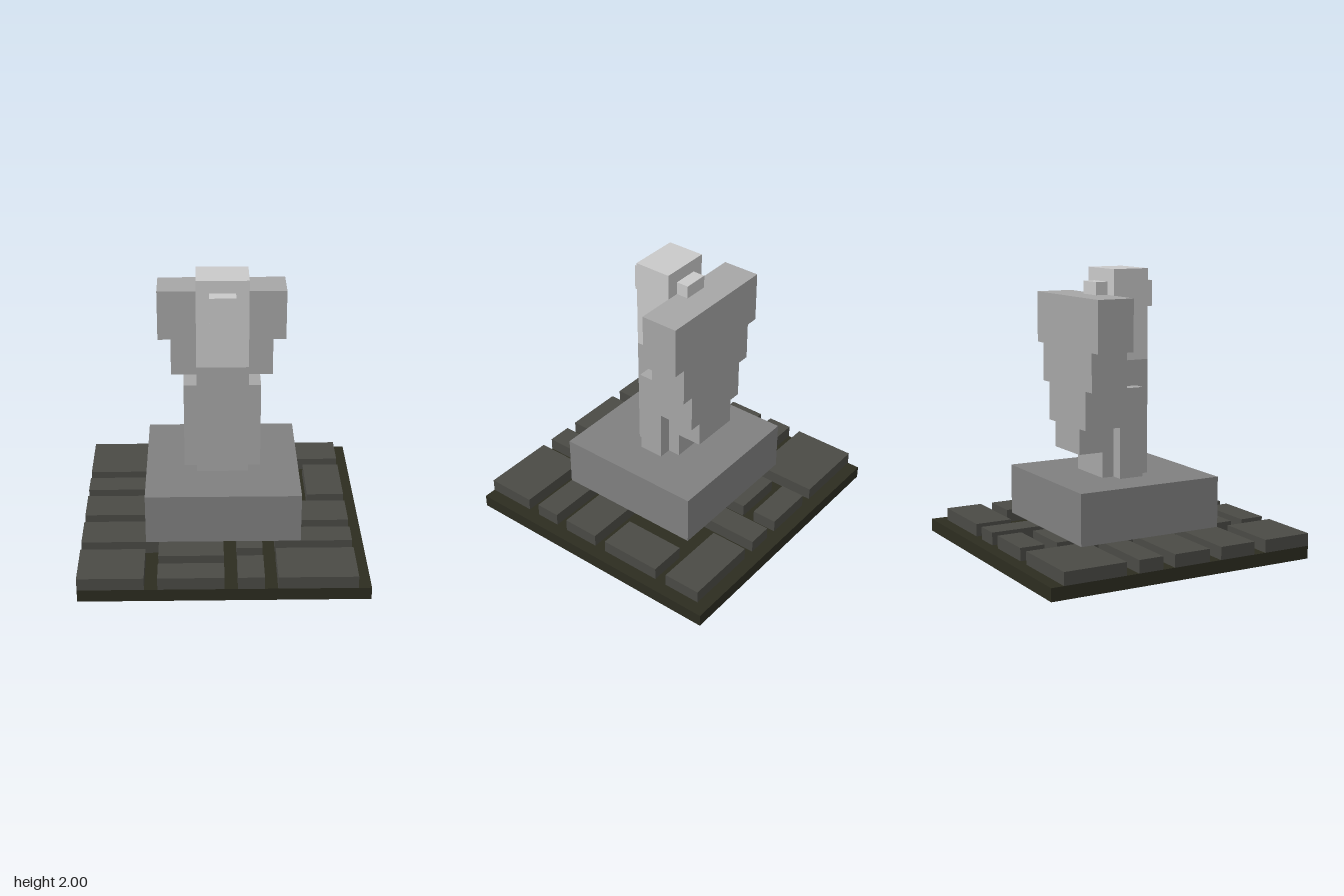
import * as THREE from 'three';

const U = 1 / 11; // one block of the modelling grid

const mat = (name, color) => {
  const m = new THREE.MeshStandardMaterial({ color });
  m.name = name;
  return m;
};

export function createModel() {
  const soil = mat('dark soil', 0x2c2c20);
  const paving = mat('dark paving', 0x4a4a45);
  const plinthStone = mat('plinth grey', 0x808080);
  const statueStone = mat('statue grey', 0xa6a6a6);
  const headStone = mat('pale grey', 0xc9c9c9);

  const model = new THREE.Group();
  model.name = 'statue';

  // Box between two grid corners
  const box = (parent, name, material, [x0, x1], [y0, y1], [z0, z1]) => {
    const geo = new THREE.BoxGeometry((x1 - x0) * U, (y1 - y0) * U, (z1 - z0) * U);
    const mesh = new THREE.Mesh(geo, material);
    mesh.position.set(((x0 + x1) / 2) * U, ((y0 + y1) / 2) * U, ((z0 + z1) / 2) * U);
    mesh.name = name;
    parent.add(mesh);
  };
  const group = (name) => {
    const g = new THREE.Group();
    g.name = name;
    model.add(g);
    return g;
  };

  // Ground slab
  box(model, 'groundSlab', soil, [-11, 11], [0, 1], [-11, 11]);

  // Paving stones: x0, x1, z0, z1
  const stones = group('pavingStones');
  [
    [-11, -5, -10, -5], [-11, -5, -4, -2], [-11, -5, -1, 2], [-11, -5, 3, 6], [-11, -6, 7, 11],
    [-4, 0, -10, -8], [-4, 0, -7, -3], [-5, 0, 4, 8], [-5, 0, 9, 11],
    [1, 3, -10, -3], [-4, 3, -2, 3], [1, 3, 4, 7], [1, 3, 8, 11],
    [4, 10, -10, -7], [7, 10, -6, -1], [4, 10, 0, 3], [4, 10, 4, 6], [4, 10, 7, 11],
  ].forEach(([x0, x1, z0, z1]) => box(stones, 'pavingStone', paving, [x0, x1], [1, 2], [z0, z1]));

  // Plinth
  box(model, 'plinth', plinthStone, [-6, 6], [2, 6], [-6, 6]);

  // Body with side panels and rear foot
  const body = group('body');
  box(body, 'torso', statueStone, [-2, 2], [6, 15], [-1, 2]);
  for (const s of [-3, 2]) box(body, 'sidePanel', statueStone, [s, s + 1], [6, 13], [-1, 1]);
  box(body, 'rearFoot', statueStone, [-2, 2], [6, 8], [-2, -1]);

  // Stepped wings on the back: half width, bottom, top
  const wings = group('wings');
  [[5, 16, 20], [4, 13, 16], [3, 10, 13], [2, 8, 10]].forEach(([w, y0, y1]) =>
    box(wings, 'wingStep', statueStone, [-w, w], [y0, y1], [-4, -1]));

  // Head with nose and rear knob
  const head = group('head');
  box(head, 'headBlock', headStone, [-2, 2], [15, 22], [-1, 2]);
  box(head, 'nose', headStone, [-1, 1], [19, 21], [2, 3]);
  box(head, 'rearKnob', headStone, [-1, 1], [20, 21], [-2, -1]);

  return model;
}
